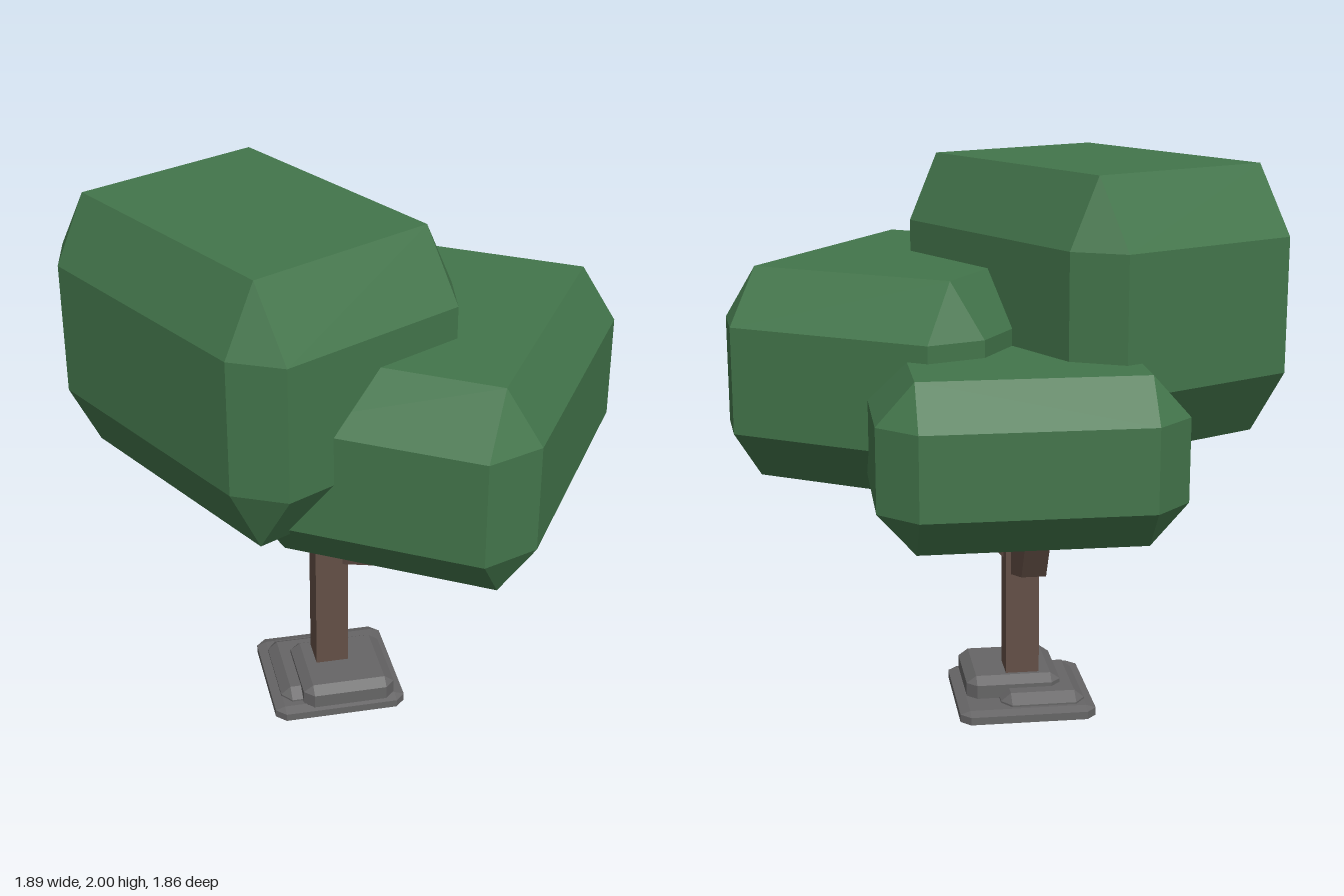
import * as THREE from 'three';
import { ConvexGeometry } from 'three/addons/geometries/ConvexGeometry.js';

const material = (name, color) => {
  const m = new THREE.MeshStandardMaterial({ color });
  m.name = name;
  return m;
};

// Box with every edge and corner cut; size and bevel are given per axis
function chamferedBox(half, bevel) {
  const points = [];
  for (const sx of [-1, 1]) for (const sy of [-1, 1]) for (const sz of [-1, 1]) {
    for (let full = 0; full < 3; full++) {
      const p = half.map((h, i) => (i === full ? h : h - bevel[i]));
      points.push(new THREE.Vector3(p[0] * sx, p[1] * sy, p[2] * sz));
    }
  }
  return new ConvexGeometry(points);
}

// Side outline (distance, height) of a bent branch, extruded to its width
function branchGeometry(outline, width) {
  const shape = new THREE.Shape(outline.map(([d, y]) => new THREE.Vector2(d, y)));
  const g = new THREE.ExtrudeGeometry(shape, { depth: width, bevelEnabled: false });
  return g.translate(0, 0, -width / 2);
}

export function createModel() {
  const model = new THREE.Group();
  model.name = 'tree';
  const leaf = material('leaf green', 0x43754b);
  const bark = material('bark brown', 0x634f46);
  const stone = material('stone grey', 0x666566);

  function add(name, geometry, mat, position, turn = 0) {
    const mesh = new THREE.Mesh(geometry, mat);
    mesh.name = name;
    mesh.position.set(...position);
    mesh.rotation.y = turn;
    model.add(mesh);
  }

  // Foliage blocks
  const foliage = [
    ['upperFoliage', [0.456, 0.46, 0.62], [-0.33, 1.54, 0.035], Math.atan2(0.464, 0.885)],
    ['frontFoliage', [0.49, 0.365, 0.652], [0.267, 1.295, 0.18], -Math.atan2(0.535, 0.845)],
    ['backFoliage', [0.49, 0.275, 0.47], [0, 1.145, -0.46], 0],
  ];
  for (const [name, half, position, turn] of foliage) {
    const bevel = [half[0] / 4, half[1] / 2, half[2] / 4];
    add(name, chamferedBox(half, bevel), leaf, position, turn);
  }

  // Trunk
  add('trunk', new THREE.BoxGeometry(0.12, 1.2, 0.12), bark, [-0.07, 0.6, -0.03]);

  // Branches
  add('frontBranch', branchGeometry([
    [0, 0.575], [0.205, 0.655], [0.37, 0.86], [0.43, 1.02],
    [0.37, 1.02], [0.315, 0.88], [0.165, 0.705], [0, 0.63],
  ], 0.045), bark, [-0.04, 0, -0.02], -Math.atan2(0.8, 0.6));
  add('backBranch', branchGeometry([
    [0.02, 0.53], [0.32, 0.62], [0.55, 1.0],
    [0.47, 1.0], [0.26, 0.7], [0.02, 0.61],
  ], 0.085), bark, [-0.07, 0, -0.03], Math.PI / 2);

  // Stones around the foot of the trunk
  const stones = [
    ['wideStone', [0.243, 0.026, 0.243], [0.035, 0.012, 0.035], [-0.07, 0.065, -0.035]],
    ['topStone', [0.17, 0.05, 0.17], [0.035, 0.025, 0.035], [-0.035, 0.115, 0.03]],
    ['lowStone', [0.15, 0.058, 0.19], [0.035, 0.029, 0.045], [-0.13, 0.068, -0.04]],
  ];
  for (const [name, half, bevel, position] of stones) {
    add(name, chamferedBox(half, bevel), stone, position);
  }

  return model;
}
